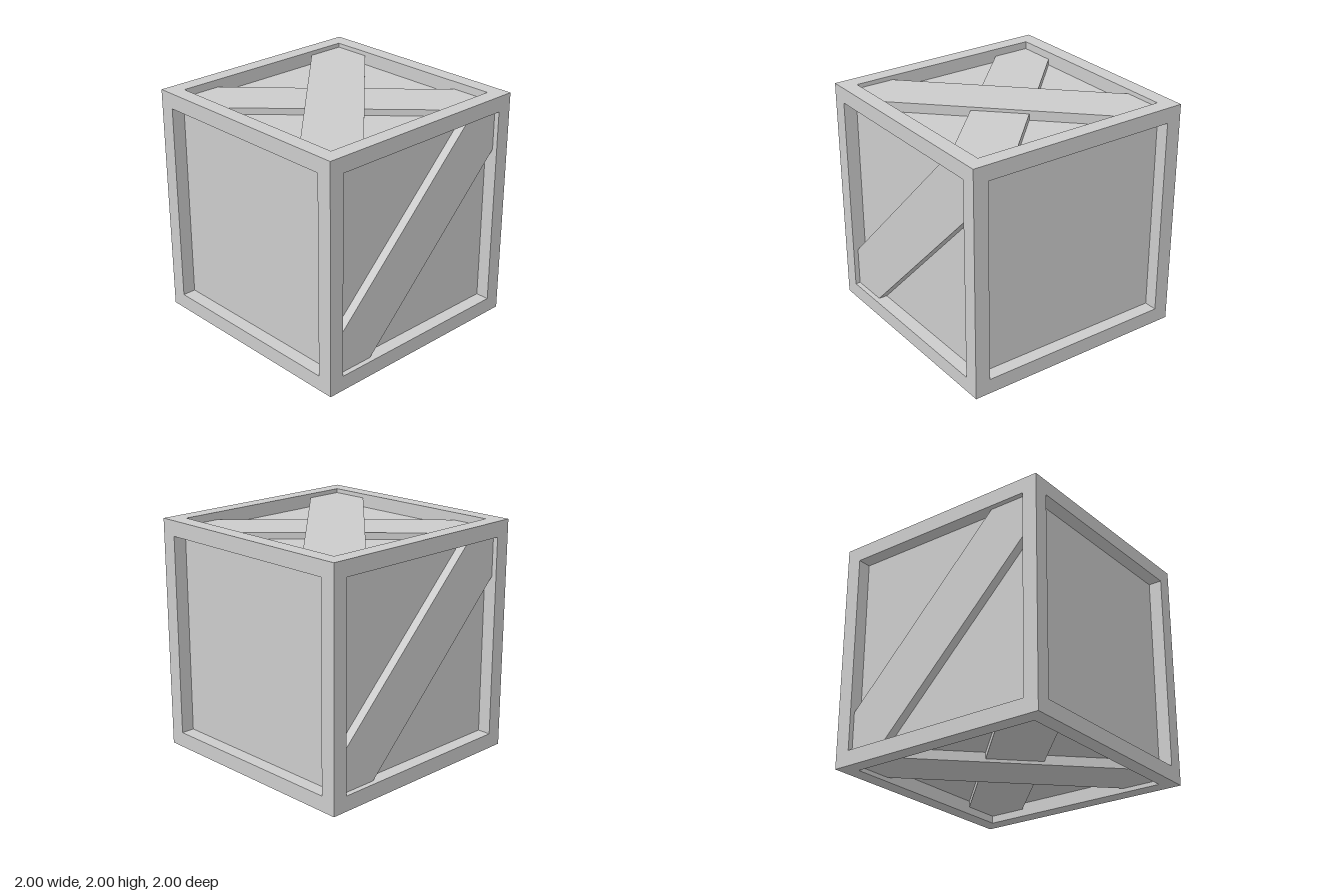
import * as THREE from 'three';

const HALF = 1;          // half the crate size
const OPEN = 0.868;      // half the opening between the beams
const PANEL = 0.883;     // distance of the panels from the centre
const material = new THREE.MeshStandardMaterial({ color: 0xcccccc, flatShading: true });

function box(name, w, h, d, x, y, z) {
  const mesh = new THREE.Mesh(new THREE.BoxGeometry(w, h, d), material);
  mesh.name = name;
  mesh.position.set(x, y, z);
  return mesh;
}

// Diagonal board on the +z side, its ends cut square to the corner it fills
function diagonalPlank(name, outer, mirrored = false) {
  const e = 0.864, c = 0.53;
  const s = mirrored ? -1 : 1;
  const points = [[-e, -e], [-c, -e], [e, c], [e, e], [c, e], [-e, -c]];
  const shape = new THREE.Shape(points.map(([x, y]) => new THREE.Vector2(s * x, y)));
  const inner = PANEL - 0.01;
  const geometry = new THREE.ExtrudeGeometry(shape, { depth: outer - inner, bevelEnabled: false });
  geometry.translate(0, 0, inner);
  const mesh = new THREE.Mesh(geometry, material);
  mesh.name = name;
  return mesh;
}

export function createModel() {
  const crate = new THREE.Group();
  crate.name = 'crate';
  const body = new THREE.Group();
  body.name = 'body';
  body.position.y = HALF;
  crate.add(body);

  // Recessed panels
  body.add(box('panels', 2 * PANEL, 2 * PANEL, 2 * PANEL, 0, 0, 0));

  // Twelve frame beams
  const t = HALF - OPEN, m = (HALF + OPEN) / 2;
  for (const a of [-1, 1]) {
    for (const b of [-1, 1]) {
      body.add(box('cornerPost', t, 2 * HALF, t, a * m, 0, b * m));
      body.add(box('crossBeam', 2 * OPEN, t, t, 0, a * m, b * m));
      body.add(box('sideBeam', t, t, 2 * OPEN, a * m, b * m, 0));
    }
  }

  // One diagonal plank on the front and one on the back
  for (const [name, turn] of [['frontPlank', 0], ['backPlank', Math.PI]]) {
    const plank = diagonalPlank(name, 0.96);
    plank.rotation.y = turn;
    body.add(plank);
  }

  // Crossed planks on the top and the bottom, one lying over the other
  for (const [name, turn] of [['top', -Math.PI / 2], ['bottom', Math.PI / 2]]) {
    const cross = new THREE.Group();
    cross.name = name + 'Cross';
    const over = name === 'bottom'; // keeps both upper planks on the same diagonal
    cross.add(diagonalPlank(name + 'OuterPlank', 0.965, over));
    cross.add(diagonalPlank(name + 'InnerPlank', 0.937, !over));
    cross.rotation.x = turn;
    body.add(cross);
  }
  return crate;
}
